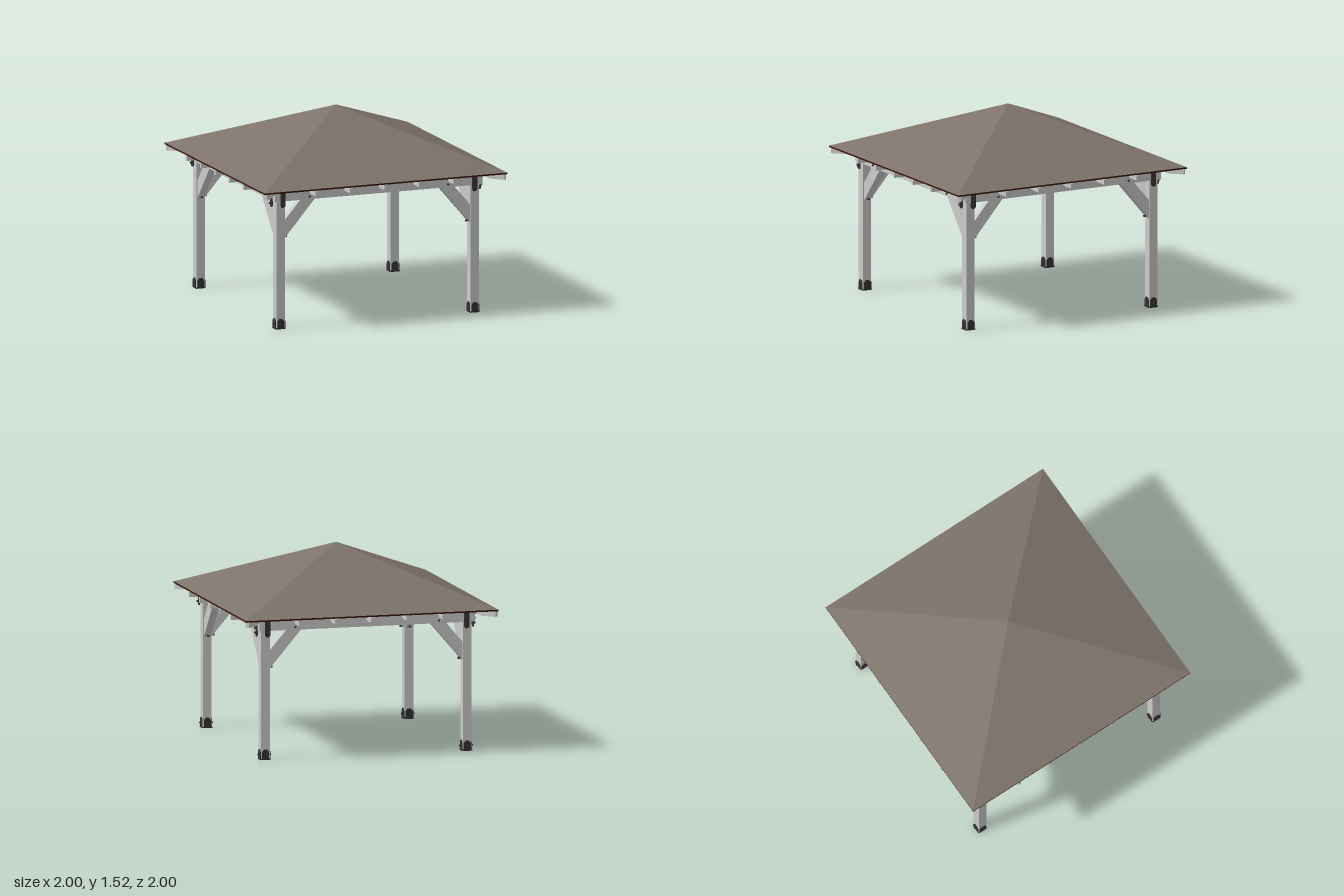
import * as THREE from 'three';

const mat = (color, side = THREE.FrontSide) =>
  new THREE.MeshStandardMaterial({ color, side, flatShading: true });
const wood = mat(0xcccccc);
const metal = mat(0x333333);
const shingle = mat(0x7d736a);
const deckMat = mat(0x6b4020, THREE.BackSide);
const trim = mat(0x3a1008);

const EAVE = 1.105, APEX = 1.52, SLOPE = APEX - EAVE, POST = 0.8;

function add(parent, name, geo, material, x = 0, y = 0, z = 0) {
  const mesh = new THREE.Mesh(geo, material);
  mesh.name = name;
  mesh.position.set(x, y, z);
  parent.add(mesh);
  return mesh;
}

// Extrude an outline of [x, y] points, centred on z = 0
function slab(points, depth) {
  const shape = new THREE.Shape(points.map(([x, y]) => new THREE.Vector2(x, y)));
  return new THREE.ExtrudeGeometry(shape, { depth, bevelEnabled: false }).translate(0, 0, -depth / 2);
}

// Rafter running outwards along +x with a level-cut tail; stretch widens it for the hips
function rafterGeometry(inner, width, stretch = 1, end = 1) {
  const top = d => 1.09 + SLOPE * (1 - d);
  const depth = 0.08;
  const knee = 1 - (1.05 - 1.09 + depth) / SLOPE;
  const outline = [[inner, top(inner) - depth], [knee, 1.05], [end, 1.05], [end, top(end)], [inner, top(inner)]];
  return slab(outline.map(([x, y]) => [x * stretch, y]), width);
}

const bolt = length => new THREE.CylinderGeometry(0.008, 0.008, length, 8).rotateX(Math.PI / 2);

const strapGeo = slab([[-0.02, 0.965], [-0.01, 0.95], [0.01, 0.95], [0.02, 0.965],
  [0.02, 1.07], [0.01, 1.085], [-0.01, 1.085], [-0.02, 1.07]], 0.008);
const tabGeo = slab([[-0.028, 0], [0.028, 0], [0.028, 0.06], [0.012, 0.08], [-0.012, 0.08], [-0.028, 0.06]], 0.008);

// Beam, braces, straps and rafters of the side facing +z
function makeSide() {
  const side = new THREE.Group();
  side.name = 'side';
  add(side, 'beam', new THREE.BoxGeometry(1.71, 0.1, 0.08), wood, 0, 1.048, 0.815);

  for (const s of [-1, 1]) {
    const outline = [[0.767, 0.7], [0.767, 0.84], [0.63, 1.0], [0.51, 1.0]].map(([x, y]) => [x * s, y]);
    add(side, 'brace', slab(outline, 0.055), wood, 0, 0, POST);
    add(side, 'beamStrap', strapGeo, metal, s * 0.79, 0, 0.858);
    for (const y of [0.98, 1.017, 1.055]) add(side, 'strapBolt', bolt(0.02), metal, s * 0.79, y, 0.867);
    for (const y of [1.02, 1.06]) add(side, 'beamBolt', bolt(0.1), metal, s * 0.57, y, 0.815);
    const foot = add(side, 'braceBolt', bolt(0.03), metal, s * 0.75, 0.715, POST);
    foot.rotation.y = Math.PI / 2;
  }

  for (const x of [-0.57, -0.285, 0, 0.285, 0.57]) {
    const geo = rafterGeometry(Math.abs(x) + 0.02, 0.025).rotateY(-Math.PI / 2);
    add(side, 'rafter', geo, wood, x);
  }
  return side;
}

// Post with its metal foot
function makePost(x, z) {
  const post = new THREE.Group();
  post.name = 'post';
  post.position.set(x, 0, z);
  add(post, 'postShaft', new THREE.BoxGeometry(0.07, 1.085, 0.07), wood, 0, 0.5525);
  add(post, 'footPlate', new THREE.BoxGeometry(0.078, 0.01, 0.078), metal, 0, 0.005);
  for (let k = 0; k < 4; k++) {
    const face = new THREE.Group();
    face.name = 'footBracket';
    face.rotation.y = k * Math.PI / 2;
    add(face, 'footTab', tabGeo, metal, 0, 0, 0.037);
    add(face, 'footBolt', bolt(0.016), metal, 0, 0.038, 0.044);
    post.add(face);
  }
  return post;
}

export function createModel() {
  const model = new THREE.Group();
  model.name = 'pavilion';

  for (const x of [-POST, POST]) for (const z of [-POST, POST]) model.add(makePost(x, z));

  for (let k = 0; k < 4; k++) {
    const side = makeSide();
    side.rotation.y = k * Math.PI / 2;
    model.add(side);
    const hip = add(model, 'hipRafter', rafterGeometry(0.005, 0.028, Math.SQRT2, 0.988), wood);
    hip.rotation.y = Math.PI / 4 + k * Math.PI / 2;
  }

  // Four-sided roof: shingles above, boards below, dark trim around the eave
  const pyramid = new THREE.ConeGeometry(Math.SQRT2, SLOPE, 4, 1, true).rotateY(Math.PI / 4);
  const edge = new THREE.CylinderGeometry(Math.SQRT2, Math.SQRT2, 0.012, 4, 1, true).rotateY(Math.PI / 4);
  const middle = (EAVE + APEX) / 2;
  add(model, 'roofShingles', pyramid, shingle, 0, middle);
  add(model, 'roofBoards', pyramid, deckMat, 0, middle - 0.012);
  add(model, 'eaveTrim', edge, trim, 0, EAVE - 0.006);

  return model;
}
